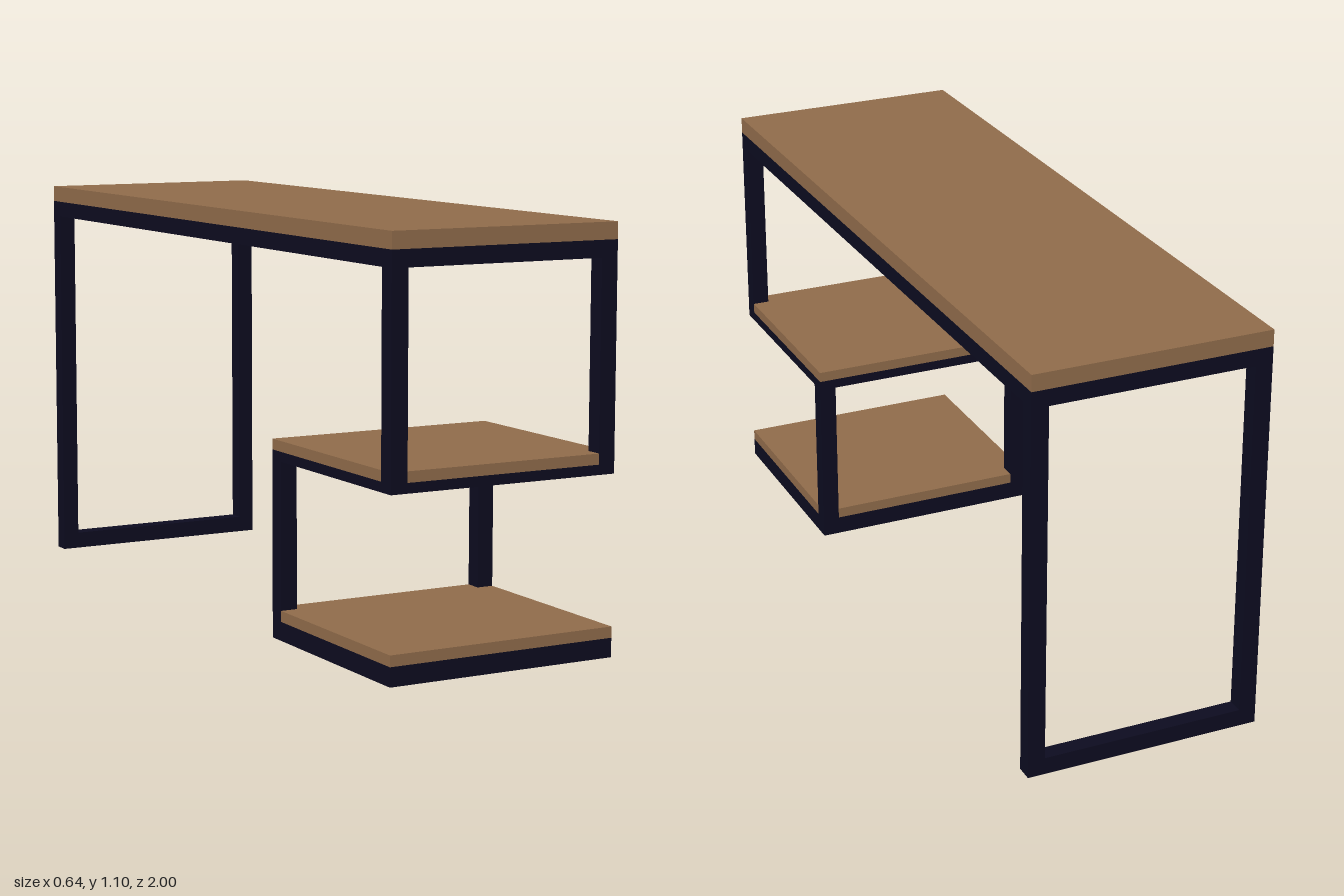
import * as THREE from 'three';

export function createModel() {
  const wood = new THREE.MeshStandardMaterial({ color: 0x8f6b4a });
  wood.name = 'warm wood';
  const metal = new THREE.MeshStandardMaterial({ color: 0x0c0b1f });
  metal.name = 'dark metal';

  const W = 0.322; // half width
  const T = 0.046; // tube thickness
  const model = new THREE.Group();
  model.name = 'desk';

  // Box given by its lower and upper limits on each axis
  function box(parent, name, mat, x0, x1, y0, y1, z0, z1) {
    const mesh = new THREE.Mesh(new THREE.BoxGeometry(x1 - x0, y1 - y0, z1 - z0), mat);
    mesh.position.set((x0 + x1) / 2, (y0 + y1) / 2, (z0 + z1) / 2);
    mesh.name = name;
    parent.add(mesh);
  }

  // Rectangular ring of tube lying flat
  function flatFrame(name, y0, y1, z0, z1) {
    const g = new THREE.Group();
    g.name = name;
    for (const s of [-1, 1]) {
      const x = s * (W - T / 2);
      box(g, 'sideRail', metal, x - T / 2, x + T / 2, y0, y1, z0, z1);
    }
    box(g, 'backRail', metal, -W + T, W - T, y0, y1, z0, z0 + T);
    box(g, 'frontRail', metal, -W + T, W - T, y0, y1, z1 - T, z1);
    model.add(g);
  }

  // Mirrored pair of upright posts
  function posts(name, y0, y1, z0) {
    box(model, name + 'Left', metal, W - T, W, y0, y1, z0, z0 + T);
    box(model, name + 'Right', metal, -W, -W + T, y0, y1, z0, z0 + T);
  }

  // Shelf board notched around two posts at its front or back edge
  function notchedShelf(name, y0, y1, z0, z1, notchFront) {
    const a = notchFront ? z1 : z0; // notched edge
    const b = notchFront ? z0 : z1; // plain edge
    const n = notchFront ? a - T : a + T;
    const i = W - T;
    const pts = [[-W, b], [W, b], [W, n], [i, n], [i, a], [-i, a], [-i, n], [-W, n]];
    const shape = new THREE.Shape(pts.map(([x, z]) => new THREE.Vector2(x, -z)));
    const geo = new THREE.ExtrudeGeometry(shape, { depth: y1 - y0, bevelEnabled: false });
    geo.rotateX(-Math.PI / 2);
    const mesh = new THREE.Mesh(geo, wood);
    mesh.position.y = y0;
    mesh.name = name;
    model.add(mesh);
  }

  // Table top on its frame
  box(model, 'tableTop', wood, -W, W, 1.056, 1.1, -1, 1);
  flatFrame('topFrame', 1.012, 1.056, -1, 1);

  // Back leg loop
  posts('backLeg', 0, 1.012, -1);
  box(model, 'backFootBar', metal, -W + T, W - T, 0, T, -1, -1 + T);

  // Middle shelf hanging from the front posts
  posts('frontPost', 0.498, 1.012, 1 - T);
  flatFrame('middleFrame', 0.472, 0.498, 0.4, 1);
  notchedShelf('middleShelf', 0.498, 0.526, 0.4, 1, true);

  // Lower shelf and the posts that carry the middle one
  posts('shelfPost', 0.054, 0.472, 0.4);
  flatFrame('lowerFrame', 0.004, 0.054, 0.4, 1);
  notchedShelf('lowerShelf', 0.054, 0.083, 0.4, 1, false);

  return model;
}
